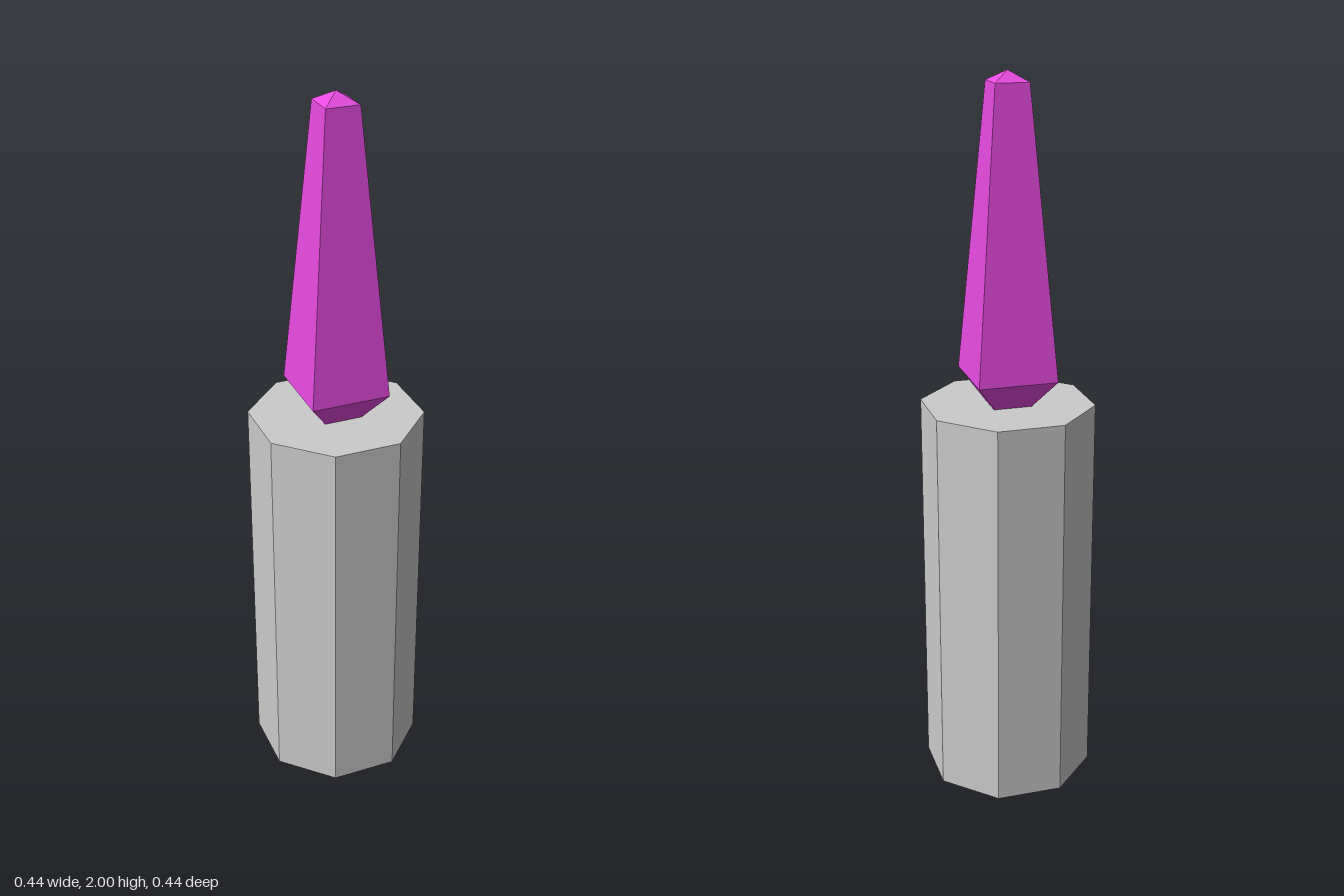
import * as THREE from 'three';

// Faceted solid turned from a bottom-to-top list of [radius, height]
function faceted(name, profile, sides, startAngle, color) {
  const points = profile.map(([r, y]) => new THREE.Vector2(r, y));
  const geometry = new THREE.LatheGeometry(points, sides, startAngle);
  const material = new THREE.MeshStandardMaterial({ color, flatShading: true, side: THREE.DoubleSide });
  const mesh = new THREE.Mesh(geometry, material);
  mesh.name = name;
  return mesh;
}

export function createModel() {
  const group = new THREE.Group();
  group.name = 'crystalOnPost';

  // Octagonal post, closed on top and open underneath
  const postRadius = 0.2225 / Math.cos(Math.PI / 8);
  group.add(faceted('post',
    [[postRadius, 0], [postRadius, 1.115], [0, 1.115]],
    8, Math.PI / 8, 0xcccccc));

  // Four-sided crystal with its lower point sunk into the post
  group.add(faceted('crystal',
    [[0, 1.04], [0.155, 1.195], [0.065, 1.972], [0, 2]],
    4, 0, 0xe64ae0));

  return group;
}
